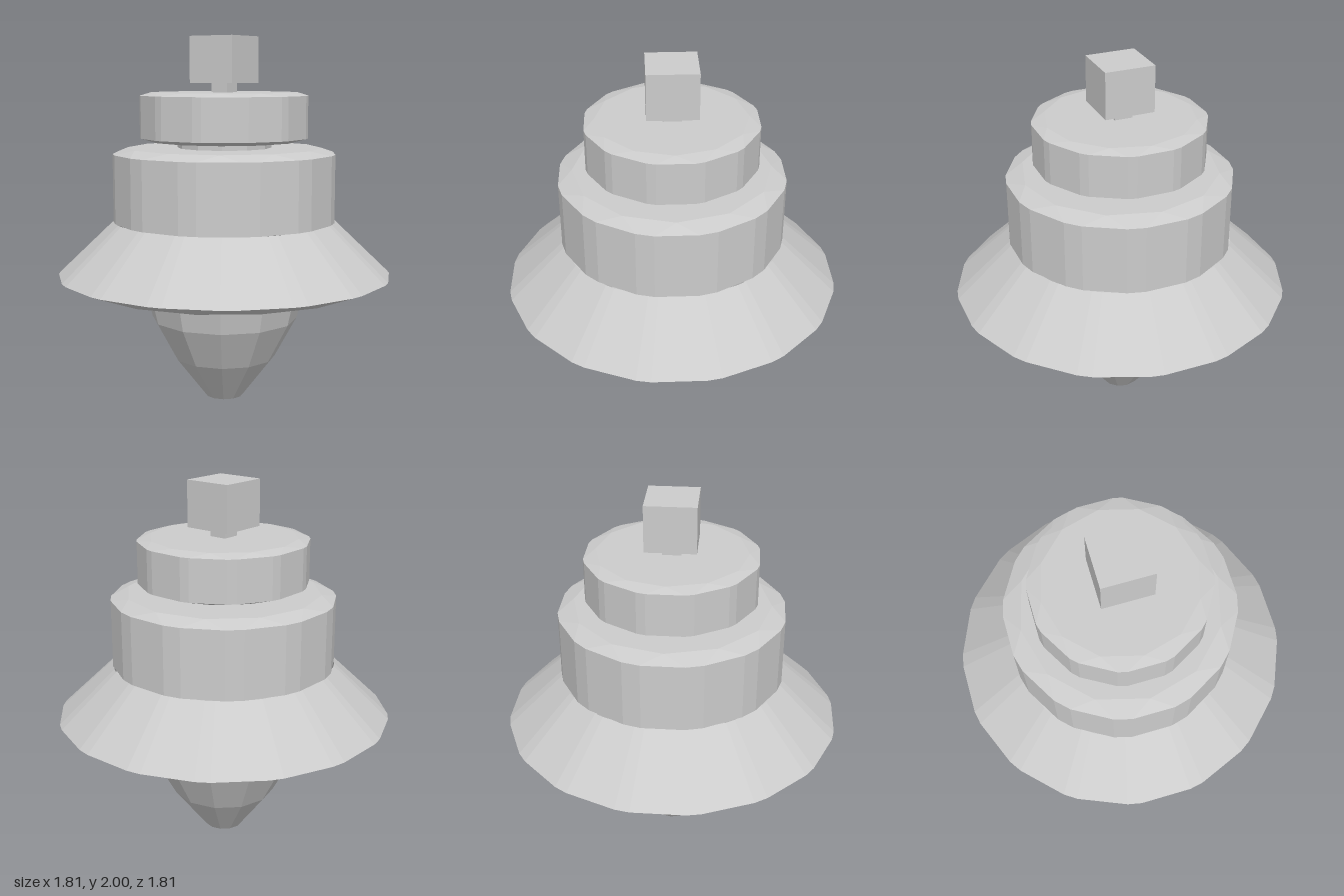
import * as THREE from 'three';

const material = new THREE.MeshStandardMaterial({ color: 0xcccccc, flatShading: true, side: THREE.DoubleSide });
const rad = THREE.MathUtils.degToRad;

// Lofts n-sided rings listed from the bottom up as [radius, y, cut].
// cut = half angle of the flat that blunts each corner (0 keeps it sharp).
function bevelledTurning(sides, rings) {
  const positions = [];
  const index = [];
  const count = sides * 2;
  for (const [radius, y, cut = 0] of rings) {
    const r = radius / Math.cos(rad(cut));
    for (let k = 0; k < sides; k++) {
      for (const sign of [-1, 1]) {
        const angle = rad((k * 360) / sides + sign * cut);
        positions.push(r * Math.sin(angle), y, r * Math.cos(angle));
      }
    }
  }
  for (let i = 0; i < rings.length - 1; i++) {
    for (let j = 0; j < count; j++) {
      const a = i * count + j;
      const b = i * count + ((j + 1) % count);
      index.push(a, b, b + count, a, b + count, a + count);
    }
  }
  const geometry = new THREE.BufferGeometry();
  geometry.setAttribute('position', new THREE.Float32BufferAttribute(positions, 3));
  geometry.setIndex(index);
  // Drop zero-area triangles at sharp corners and cap centres
  const p = geometry.toNonIndexed().attributes.position;
  const kept = [];
  const tri = new THREE.Triangle();
  for (let i = 0; i < p.count; i += 3) {
    tri.setFromAttributeAndIndices(p, i, i + 1, i + 2);
    if (tri.getArea() > 1e-7) for (const v of [tri.a, tri.b, tri.c]) kept.push(v.x, v.y, v.z);
  }
  const clean = new THREE.BufferGeometry();
  clean.setAttribute('position', new THREE.Float32BufferAttribute(kept, 3));
  clean.computeVertexNormals();
  return clean;
}

export function createModel() {
  const group = new THREE.Group();
  const add = (name, geometry, y = 0) => {
    const mesh = new THREE.Mesh(geometry, material);
    mesh.name = name;
    mesh.position.y = y;
    group.add(mesh);
  };

  // Tapering twelve-sided point at the bottom
  const tip = [[0, 0], [0.105, 0], [0.285, 0.23], [0.405, 0.45], [0.455, 0.655], [0.465, 0.78]];
  add('point', new THREE.LatheGeometry(tip.map(([r, y]) => new THREE.Vector2(r, y)), 12));

  // Flared skirt with a blunt rim and a hollow underside
  add('skirt', bevelledTurning(16, [
    [0.44, 0.77], [0.56, 0.77], [0.8, 0.655], [0.905, 0.705, 8.8], [0.6, 1.0, 8.8],
  ]));

  // Main drum
  add('drum', bevelledTurning(12, [
    [0, 1.0], [0.6, 1.0, 10.5], [0.6, 1.37, 10.5], [0.53, 1.4], [0, 1.4],
  ]));

  // Neck between drum and cap
  add('neck', new THREE.CylinderGeometry(0.257, 0.257, 0.06, 12), 1.42);

  // Cap, bevelled above and below
  add('cap', bevelledTurning(12, [
    [0, 1.435], [0.4, 1.435], [0.452, 1.455, 12], [0.452, 1.683, 12], [0.4, 1.7], [0, 1.7],
  ]));

  // Square stem and cube knob
  add('stem', new THREE.BoxGeometry(0.1, 0.08, 0.1), 1.73);
  add('knob', new THREE.BoxGeometry(0.27, 0.25, 0.27), 1.875);

  return group;
}
